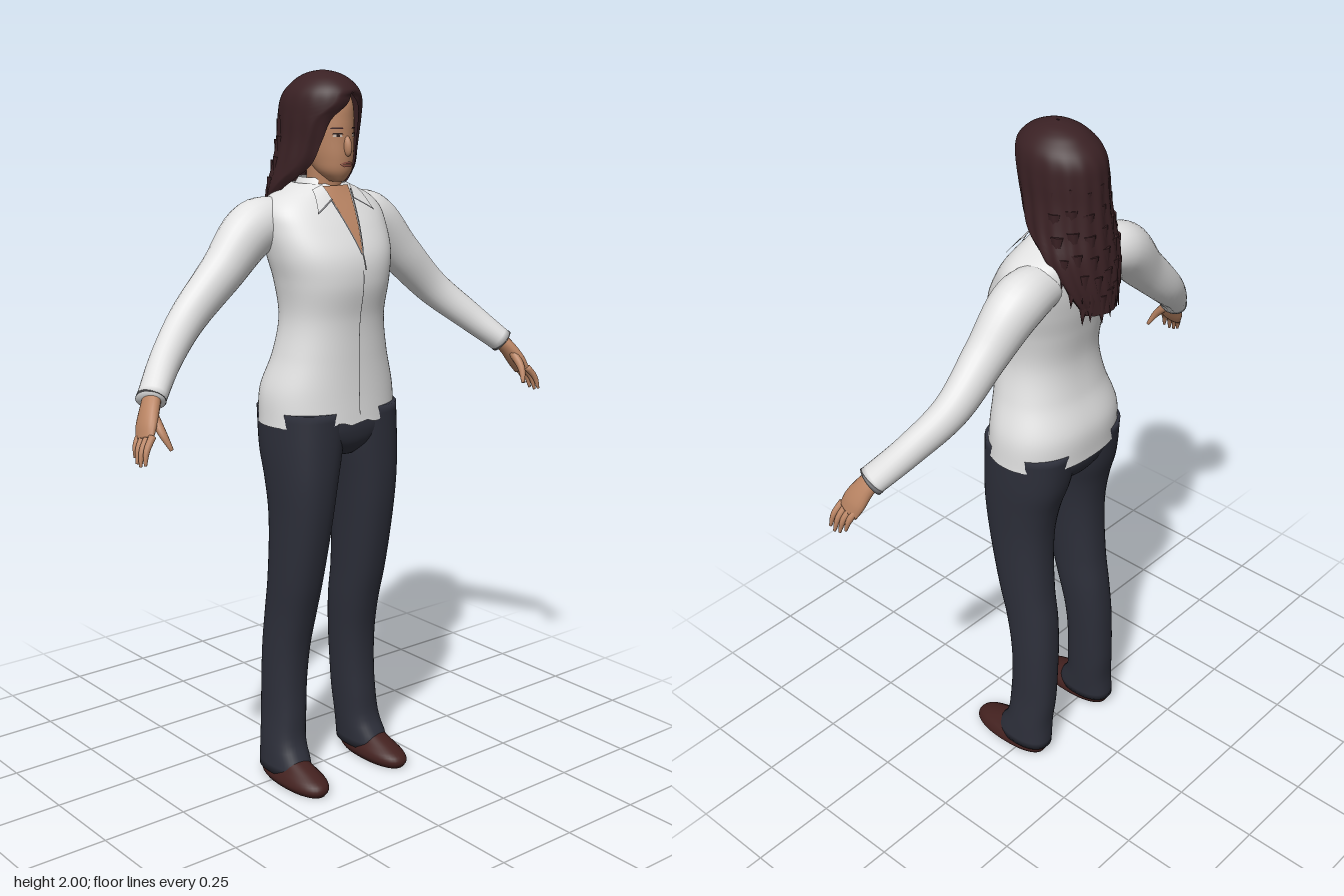
import * as THREE from 'three';
import { mergeVertices } from 'three/addons/utils/BufferGeometryUtils.js';

const mat = (name, color, side = THREE.FrontSide) => {
  const m = new THREE.MeshStandardMaterial({ color, side });
  m.name = name;
  return m;
};
const rad = THREE.MathUtils.degToRad;
const POWER = 2.3; // slightly squared ellipses for cloth

// Smooth lookup in rows of [y, ...values]
function sampler(rows) {
  const size = rows[0].length - 1;
  const curve = new THREE.CubicInterpolant(rows.map(r => r[0]), rows.flatMap(r => r.slice(1)), size, new Float32Array(size));
  return t => Array.from(curve.evaluate(t));
}

// Grid surface from point(u, v); caps close the first and last rings
function surface(point, nu, nv, capStart = false, capEnd = false) {
  const pos = [], index = [], w = nu + 1;
  for (let j = 0; j <= nv; j++) for (let i = 0; i <= nu; i++) pos.push(...point(i / nu, j / nv));
  for (let j = 0; j < nv; j++) for (let i = 0; i < nu; i++) {
    const a = j * w + i, d = a + w;
    index.push(a, a + 1, d + 1, a, d + 1, d);
  }
  const cap = (row, flip) => {
    const c = [0, 0, 0], first = pos.length / 3;
    for (let i = 0; i < nu; i++) for (let k = 0; k < 3; k++) c[k] += pos[(row * w + i) * 3 + k] / nu;
    pos.push(...c);
    for (let i = 0; i < nu; i++) {
      const a = row * w + i;
      index.push(first, flip ? a + 1 : a, flip ? a : a + 1);
    }
  };
  if (capStart) cap(0, true);
  if (capEnd) cap(nv, false);
  let g = new THREE.BufferGeometry();
  g.setAttribute('position', new THREE.Float32BufferAttribute(pos, 3));
  g.setIndex(index);
  g = mergeVertices(g, 1e-5);
  g.computeVertexNormals();
  return g;
}

const squared = (s, p) => Math.sign(s) * Math.abs(s) ** (2 / p);

// Upright body from rows of [y, xMin, xMax, zBack, zFront]
function body(rows, { p = POWER, nu = 40, nv = 36, caps = [true, true], bend } = {}) {
  const at = sampler(rows), y0 = rows[0][0], y1 = rows[rows.length - 1][0];
  return surface((u, v) => {
    const y = THREE.MathUtils.lerp(y0, y1, v), [x0, x1, zb, zf] = at(y);
    const s = Math.sin(u * 2 * Math.PI), c = Math.cos(u * 2 * Math.PI);
    const q = [(x0 + x1) / 2 + (x1 - x0) / 2 * squared(s, p), y, (zb + zf) / 2 + (zf - zb) / 2 * squared(c, p)];
    return bend ? bend(q, c, v) : q;
  }, nu, nv, ...caps);
}

// Front depth of a body at (x, y)
function frontOf(rows, p = POWER) {
  const at = sampler(rows);
  return (x, y) => {
    const [x0, x1, zb, zf] = at(y);
    const k = Math.min(1, Math.abs((x - (x0 + x1) / 2) / ((x1 - x0) / 2)));
    return (zb + zf) / 2 + (zf - zb) / 2 * (1 - k ** p) ** (1 / p);
  };
}

// Thin four-cornered plate laid on a front surface
function patch(front, [a, b, c, d], lift = 0.005, n = 12) {
  const mix = THREE.MathUtils.lerp;
  return surface((u, v) => {
    const x = mix(mix(a[0], b[0], u), mix(d[0], c[0], u), v), y = mix(mix(a[1], b[1], u), mix(d[1], c[1], u), v);
    return [x, y, front(x, y) + lift];
  }, n, n);
}

// Limb along a curve; rings are [radius across, radius along z]
function limb(points, rings, s, nu = 20, nv = 24) {
  const curve = new THREE.CatmullRomCurve3(points.map(([x, y, z]) => new THREE.Vector3(x * s, y, z)));
  const at = sampler(rings.map((r, i) => [i / (rings.length - 1), ...r]));
  return surface((u, v) => {
    const t = curve.getTangent(v), [r, rz] = at(v);
    const n = new THREE.Vector3(0, 0, 1).addScaledVector(t, -t.z).normalize();
    const b = t.clone().cross(n);
    return curve.getPoint(v).addScaledVector(n, rz * Math.cos(u * 2 * Math.PI)).addScaledVector(b, r * Math.sin(u * 2 * Math.PI)).toArray();
  }, nu, nv, true, true);
}

const sym = rows => rows.map(([y, w, zb, zf]) => [y, -w, w, zb, zf]);
const TORSO = sym([[1.06, 0.203, -0.13, 0.157], [1.15, 0.197, -0.13, 0.152], [1.25, 0.167, -0.098, 0.15], [1.35, 0.15, -0.085, 0.153],
  [1.45, 0.162, -0.1, 0.168], [1.52, 0.178, -0.115, 0.16], [1.59, 0.186, -0.125, 0.125], [1.64, 0.18, -0.125, 0.092],
  [1.67, 0.15, -0.118, 0.07], [1.688, 0.11, -0.105, 0.058], [1.705, 0.07, -0.09, 0.047]]);
const HEAD = sym([[1.712, 0.02, 0.02, 0.08], [1.735, 0.042, -0.01, 0.094], [1.77, 0.055, -0.05, 0.1], [1.82, 0.065, -0.09, 0.1],
  [1.87, 0.068, -0.11, 0.1], [1.92, 0.064, -0.11, 0.094], [1.96, 0.048, -0.085, 0.066], [1.98, 0.02, -0.04, 0.02]]);
const LEG = [[0.03, 0.088, 0.202, -0.09, 0.098], [0.06, 0.086, 0.2, -0.09, 0.09], [0.11, 0.082, 0.196, -0.088, 0.06], [0.2, 0.075, 0.187, -0.095, 0.05],
  [0.3, 0.068, 0.184, -0.096, 0.046], [0.4, 0.06, 0.182, -0.094, 0.053], [0.5, 0.052, 0.18, -0.086, 0.074], [0.6, 0.048, 0.182, -0.072, 0.1],
  [0.8, 0.034, 0.187, -0.066, 0.138], [0.9, 0.02, 0.193, -0.082, 0.148], [0.98, 0.002, 0.197, -0.106, 0.15], [1.1, -0.02, 0.197, -0.122, 0.149]];
const SHOE = [[0, 0.1, 0.195, -0.072, 0.176], [0.015, 0.09, 0.205, -0.08, 0.186], [0.035, 0.092, 0.2, -0.08, 0.176],
  [0.052, 0.102, 0.19, -0.07, 0.14], [0.075, 0.112, 0.18, -0.06, 0.08]];
// [y, half width, back, front, left opening angle, right opening angle]
const HAIR = [[1.53, 0.06, -0.182, -0.08, 95, 95], [1.6, 0.1, -0.178, -0.03, 95, 95], [1.68, 0.121, -0.168, 0.03, 80, 80], [1.75, 0.112, -0.158, 0.08, 48, 48],
  [1.82, 0.104, -0.15, 0.102, 41, 38], [1.88, 0.103, -0.145, 0.113, 36, 26], [1.92, 0.1, -0.137, 0.113, 24, -2], [1.945, 0.092, -0.122, 0.107, 8, -8],
  [1.965, 0.077, -0.1, 0.092, 8, -8], [1.985, 0.052, -0.07, 0.062, 8, -8], [1.996, 0.026, -0.036, 0.028, 8, -8], [2, 0.002, -0.008, 0, 8, -8]];

export function createModel() {
  const group = new THREE.Group();
  const shirt = mat('white shirt', 0xe2e2e2, THREE.DoubleSide), seam = mat('grey seam', 0x77777a, THREE.DoubleSide);
  const trousers = mat('dark trousers', 0x2d2f3a), shoe = mat('brown shoes', 0x43211f);
  const skin = mat('skin', 0xb98463), hair = mat('dark brown hair', 0x3a2124, THREE.DoubleSide);
  const lip = mat('lips', 0x96574a), white = mat('eye white', 0xcfc0b4), iris = mat('iris', 0x2a1a16);
  const add = (name, geometry, material) => {
    const m = new THREE.Mesh(geometry, material);
    m.name = name;
    group.add(m);
    return m;
  };

  // Shirt body with an uneven front hem
  add('shirt', body(TORSO, { nu: 64, nv: 60, caps: [false, false], bend: ([x, y, z], c, v) => [
    x, y + (v === 0 ? 0.013 * Math.max(0, c) * (0.55 + 0.45 * Math.sin(x * 75)) : 0), z] }), shirt);
  const chest = frontOf(TORSO);
  add('neckline', patch(chest, [[-0.001, 1.53], [0.001, 1.53], [0.043, 1.7], [-0.043, 1.7]], 0.006), skin);
  add('placketSlit', patch(chest, [[0.004, 1.485], [0.009, 1.485], [0.005, 1.54], [0, 1.54]]), seam);
  add('frontSeam', patch(chest, [[-0.001, 1.09], [0.001, 1.09], [0.001, 1.485], [-0.001, 1.485]], 0.003, 24), seam);

  // Collar around the back of the neck, and its two points
  add('collarBand', surface((u, v) => {
    const a = rad(42 + 276 * u), r = 0.076 - 0.02 * v;
    return [r * Math.sin(a), 1.685 + 0.035 * v, -0.018 + r * 1.05 * Math.cos(a)];
  }, 32, 4), shirt);

  // Trousers seat
  add('trouserSeat', body(sym([[0.97, 0.05, -0.07, 0.11], [1.0, 0.12, -0.1, 0.138], [1.04, 0.19, -0.118, 0.15], [1.1, 0.19, -0.12, 0.147]])), trousers);

  // Head and neck
  add('neck', body(sym([[1.62, 0.056, -0.06, 0.05], [1.69, 0.047, -0.05, 0.052], [1.76, 0.045, -0.05, 0.06]]), { p: 2 }), skin);
  add('head', body(HEAD, { p: 2 }), skin);
  const face = frontOf(HEAD, 2);
  const nose = add('nose', new THREE.SphereGeometry(1, 16, 12), skin);
  nose.scale.set(0.011, 0.028, 0.015);
  nose.position.set(0, 1.806, 0.099);
  nose.rotation.x = -0.2;
  add('upperLip', patch(face, [[-0.022, 1.759], [0.022, 1.759], [0.008, 1.765], [-0.008, 1.765]], 0.003), lip);
  add('lowerLip', patch(face, [[-0.012, 1.751], [0.012, 1.751], [0.022, 1.758], [-0.022, 1.758]], 0.004), lip);

  for (const s of [1, -1]) {
    const side = s > 0 ? 'left' : 'right';
    const box = (x, y, w, h) => [[s * x - w, y - h], [s * x + w, y - h], [s * x + w * 0.8, y + h], [s * x - w * 0.8, y + h]];
    add(side + 'Eye', patch(face, box(0.027, 1.833, 0.011, 0.0035), 0.002), white);
    add(side + 'Iris', patch(face, box(0.027, 1.833, 0.004, 0.0035), 0.003), iris);
    add(side + 'Lash', patch(face, box(0.027, 1.838, 0.013, 0.0015), 0.003), iris);
    add(side + 'Brow', patch(face, box(0.028, 1.852, 0.015, 0.002), 0.002), hair);

    const mirror = pts => pts.map(([x, y]) => [x * s, y]);
    add(side + 'CollarPoint', patch(chest, mirror([[0.038, 1.67], [0.094, 1.638], [0.076, 1.692], [0.046, 1.704]]), 0.012), shirt);
    add(side + 'CollarEdge', patch(chest, mirror([[0.035, 1.667], [0.097, 1.632], [0.094, 1.638], [0.038, 1.67]]), 0.012), seam);
    add(side + 'NecklineEdge', patch(chest, mirror([[0, 1.527], [0.004, 1.527], [0.047, 1.69], [0.042, 1.69]]), 0.007), seam);

    // Sleeve, cuff edge, hand
    add(side + 'Sleeve', limb([[0.1, 1.61, -0.05], [0.2, 1.59, -0.05], [0.31, 1.487, -0.04], [0.43, 1.375, -0.03], [0.53, 1.288, 0.018], [0.618, 1.205, 0.08]],
      [[0.06, 0.06], [0.075, 0.07], [0.062, 0.056], [0.051, 0.046], [0.043, 0.041], [0.034, 0.042]], s, 24, 36), shirt);
    add(side + 'CuffEdge', limb([[0.613, 1.21, 0.077], [0.615, 1.208, 0.078], [0.617, 1.206, 0.0795]],
      [[0.0355, 0.0435], [0.0355, 0.0435], [0.0355, 0.0435]], s, 24, 2), seam);
    add(side + 'Palm', limb([[0.605, 1.22, 0.07], [0.63, 1.185, 0.092], [0.65, 1.15, 0.108], [0.664, 1.12, 0.12]],
      [[0.02, 0.026], [0.02, 0.032], [0.018, 0.037], [0.012, 0.034]], s), skin);
    for (let k = 0; k < 4; k++) {
      const z = 0.093 + k * 0.018, reach = [0.8, 0.95, 1, 0.92][k];
      add(side + 'Finger', limb([[0.658, 1.132, z], [0.658 + 0.026 * reach, 1.132 - 0.034 * reach, z + 0.01], [0.658 + 0.036 * reach, 1.132 - 0.072 * reach, z + 0.017]],
        [[0.01, 0.01], [0.0085, 0.0085], [0.004, 0.004]], s, 10, 8), skin);
    }
    add(side + 'Thumb', limb([[0.632, 1.175, 0.112], [0.63, 1.135, 0.15], [0.618, 1.095, 0.172]],
      [[0.014, 0.014], [0.011, 0.011], [0.005, 0.005]], s, 10, 8), skin);

    // Leg and shoe
    const flip = rows => rows.map(([y, a, b, zb, zf]) => s > 0 ? [y, a, b, zb, zf] : [y, -b, -a, zb, zf]);
    add(side + 'TrouserLeg', body(flip(LEG), { nv: 50 }), trousers);
    add(side + 'Shoe', body(flip(SHOE), { p: 2.2, nv: 14 }), shoe);
  }

  // Long hair with a side parting, open around the face
  const hairAt = sampler(HAIR);
  add('hair', surface((u, v) => {
    const y = 1.53 + 0.47 * Math.sin(v * Math.PI / 2), [w, zb, zf, left, right] = hairAt(y);
    const a = THREE.MathUtils.lerp(rad(left), 2 * Math.PI - rad(right), u);
    const edge = y < 1.94 ? 1 - 0.09 * Math.max(0, 1 - Math.min(u, 1 - u) * 14) : 1;
    const wave = 1 + 0.018 * Math.sin(a * 17) * THREE.MathUtils.smoothstep(1.97 - y, 0, 0.15);
    const k = edge * wave;
    return [w * k * Math.sin(a), y, (zb + zf) / 2 + (zf - zb) / 2 * k * Math.cos(a)];
  }, 96, 48), hair);

  // Ragged locks down the back and sides
  for (let row = 0; row < 6; row++) for (let i = -3; i <= 3; i++) {
    const y = 1.56 + row * 0.055 + 0.012 * (i % 2), [w, zb, zf] = hairAt(y);
    const a = Math.PI + i * 0.4, lock = add('hairLock', new THREE.ConeGeometry(0.018, 0.08, 6), hair);
    lock.position.set(w * 0.95 * Math.sin(a), y - 0.005, (zb + zf) / 2 + (zf - zb) / 2 * 0.95 * Math.cos(a));
    lock.rotation.set(Math.PI - 0.12, a, 0, 'YXZ');
    lock.scale.z = 0.6;
  }
  return group;
}
